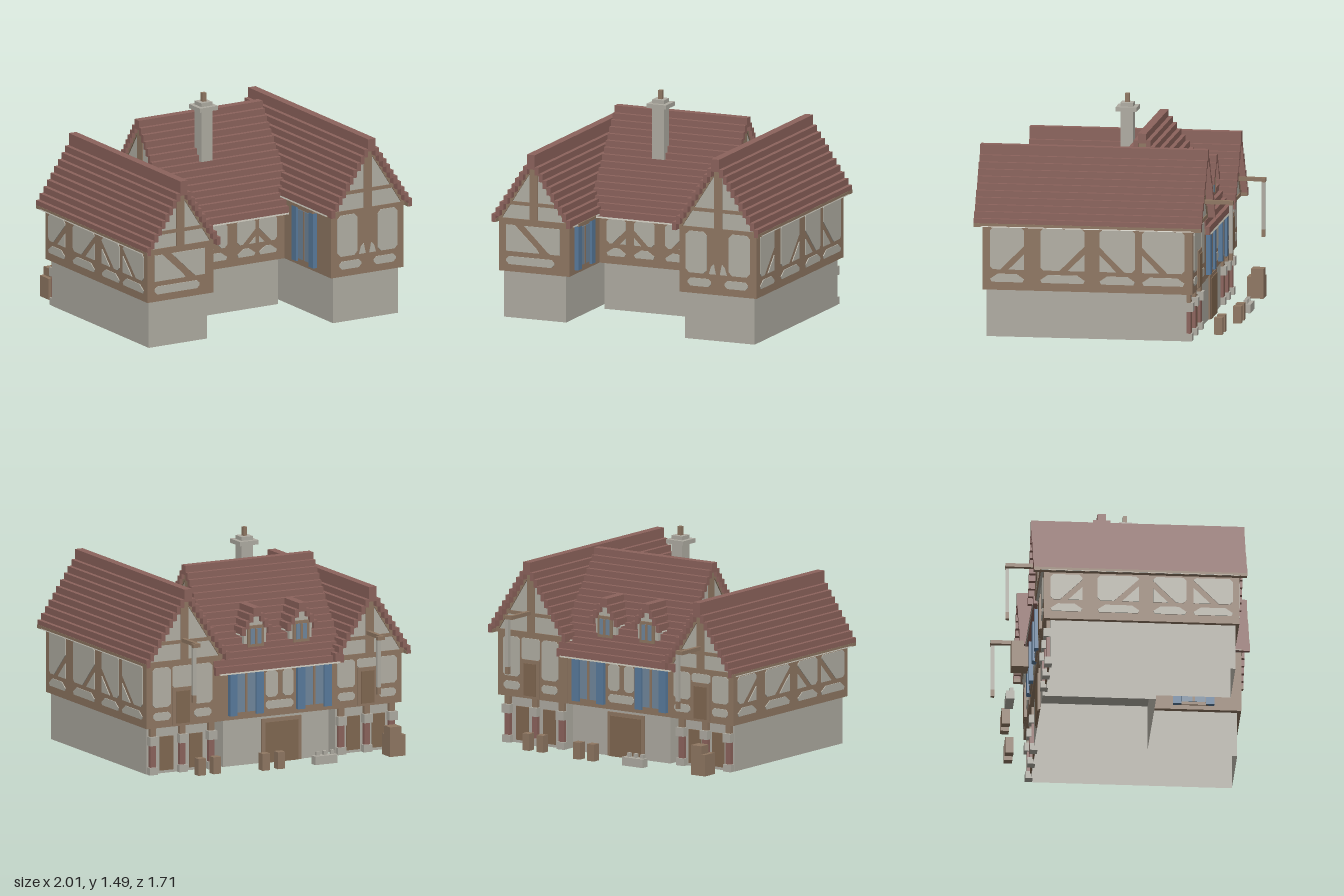
import * as THREE from 'three';

const mat = (name, color, side = THREE.FrontSide) => {
  const m = new THREE.MeshStandardMaterial({ color, side });
  m.name = name;
  return m;
};

export function createModel() {
  const M = {
    roof: mat('roofTile', 0x8c635c),
    timber: mat('timber', 0x8f7762),
    door: mat('doorWood', 0x816851),
    plaster: mat('plaster', 0xb3b0a5),
    stone: mat('stone', 0xafaca2, THREE.DoubleSide),
    glass: mat('windowGlass', 0x70879c),
    shutter: mat('shutterBlue', 0x587a9c),
  };
  const model = new THREE.Group();
  model.name = 'timberFramedHouse';

  const group = (name, parent = model) => {
    const g = new THREE.Group();
    g.name = name;
    parent.add(g);
    return g;
  };
  // Box given by its limits on each axis
  const box = (p, name, m, x0, x1, y0, y1, z0, z1) => {
    const b = new THREE.Mesh(new THREE.BoxGeometry(x1 - x0, y1 - y0, z1 - z0), m);
    b.position.set((x0 + x1) / 2, (y0 + y1) / 2, (z0 + z1) / 2);
    b.name = name;
    p.add(b);
    return b;
  };
  const extrude = (p, name, m, pts, z0, z1) => {
    const shape = new THREE.Shape(pts.map(([x, y]) => new THREE.Vector2(x, y)));
    const e = new THREE.Mesh(new THREE.ExtrudeGeometry(shape, { depth: z1 - z0, bevelEnabled: false }), m);
    e.position.z = z0;
    e.name = name;
    p.add(e);
  };
  // A wall face: local x runs to the right as seen from outside, local z points outwards
  const face = (name, x, z, turn) => {
    const g = group(name);
    g.position.set(x, 0, z);
    g.rotation.y = turn;
    return g;
  };
  const plate = (f, pts) => extrude(f, 'plasterPanel', M.plaster, pts, 0, 0.006);
  const panel = (f, a, b, y0, y1, c = 0.018) => plate(f, [[a + c, y0], [b - c, y0], [b, y0 + c],
    [b, y1 - c], [b - c, y1], [a + c, y1], [a, y1 - c], [a, y0 + c]]);

  // One framed bay: tall panel, optional diagonal brace, low panel under the rail
  const bay = (f, a, b, top, dir) => {
    const yb = 0.46, k = Math.min(0.17, 0.7 * (b - a));
    const flip = (pts) => pts.map(([x, y]) => [dir < 0 ? a + b - x : x, y]);
    if (dir === 0) panel(f, a, b, yb, top);
    else {
      plate(f, flip([[a, yb + 0.02], [a + 0.02, yb], [b - k, yb], [b, yb + k], [b, top - 0.02],
        [b - 0.02, top], [a + 0.02, top], [a, top - 0.02]]));
      plate(f, flip([[b - k + 0.055, yb], [b, yb], [b, yb + k - 0.055]]));
    }
    plate(f, [[a + 0.01, 0.375], [b - 0.01, 0.375], [b, 0.395], [b - 0.05, 0.43], [a + 0.05, 0.43], [a, 0.395]]);
  };

  // Window with frame, bar and a pair of shutters
  const windowAt = (f, h, y0, y1, w, shutters) => {
    const g = group('window', f);
    g.position.x = h;
    box(g, 'windowFrame', M.timber, -w / 2 - 0.02, w / 2 + 0.02, y0 - 0.02, y1 + 0.02, 0, 0.012);
    box(g, 'glass', M.glass, -w / 2, w / 2, y0, y1, 0.01, 0.016);
    box(g, 'bar', M.timber, -0.008, 0.008, y0, y1, 0.014, 0.021);
    if (!shutters) return;
    for (const s of [-1, 1]) {
      const c = s * (w / 2 + 0.03);
      box(g, 'shutter', M.shutter, c - 0.028, c + 0.028, y0 - 0.02, y1 + 0.02, 0, 0.03);
    }
    box(g, 'lintel', M.timber, -w / 2 - 0.06, w / 2 + 0.06, y1 + 0.02, y1 + 0.04, 0, 0.035);
  };

  // Stepped roof along local z, with plastered gables and their timbers
  const U = 0.0286;
  const steppedRoof = (name, n, eave, step, cap, length, inset, p = model) => {
    const g = group(name, p), hw = (n + 1) * U, L = length / 2, G = L - inset;
    for (let i = 0; i < n; i++) {
      for (const s of [-1, 1]) {
        const o = s * (hw - i * U), q = s * (hw - (i + 1) * U), y = eave + i * step;
        box(g, 'tileCourse', M.roof, Math.min(o, q), Math.max(o, q), y, y + 0.055, -L, L);
      }
    }
    const top = eave + n * step;
    box(g, 'ridge', M.roof, -U, U, top - 0.005, top + cap, -L, L);
    const edge = (y) => hw - (0.5 + (y - eave - 0.03) / step) * U;
    extrude(g, 'gableWall', M.plaster, [[-edge(eave), eave], [edge(eave), eave],
      [U * 0.5, top + 0.02], [-U * 0.5, top + 0.02]], -G, G);
    if (n < 5) return g;
    const mid = eave + (top - eave) * 0.34;
    for (const s of [-1, 1]) {
      const [z0, z1] = s > 0 ? [G, G + 0.007] : [-G - 0.007, -G];
      box(g, 'kingPost', M.timber, -0.03, 0.03, eave, top, z0, z1);
      box(g, 'tieBeam', M.timber, -edge(eave) + 0.03, edge(eave) - 0.03, eave, eave + 0.025, z0, z1);
      box(g, 'collarBeam', M.timber, -edge(mid), edge(mid), mid - 0.012, mid + 0.012, z0, z1);
      for (const t of [-1, 1]) {
        extrude(g, 'rafter', M.timber, [[t * edge(eave), eave], [t * U, top],
          [t * (U - 0.03), top], [t * (edge(eave) - 0.045), eave]], z0, z1);
      }
    }
    return g;
  };

  // Stone base, open underneath
  const base = (name, x0, x1, z0, z1) => {
    const b = box(model, name, M.stone, x0, x1, 0, 0.318, z0, z1);
    const idx = Array.from(b.geometry.index.array);
    idx.splice(18, 6);
    b.geometry.setIndex(idx);
    b.geometry.clearGroups();
  };
  base('leftBase', -0.945, -0.49, -0.575, 0.665);
  base('middleBase', -0.43, 0.37, -0.59, 0.17);
  base('rightBase', 0.43, 0.94, -0.575, 0.775);

  // Jettied upper storeys
  box(model, 'leftStorey', M.timber, -0.97, -0.455, 0.32, 0.685, -0.62, 0.69);
  box(model, 'middleStorey', M.timber, -0.46, 0.405, 0.32, 0.67, -0.615, 0.2);
  box(model, 'rightStorey', M.timber, 0.4, 0.965, 0.32, 0.775, -0.62, 0.8);

  // Roofs
  steppedRoof('leftRoof', 9, 0.66, 0.043, 0.095, 1.43, 0.05).position.set(-0.715, 0, 0.025);
  steppedRoof('rightRoof', 10, 0.75, 0.043, 0.08, 1.54, 0.055).position.set(0.685, 0, 0.085);
  const mainRoof = steppedRoof('middleRoof', 15, 0.64, 0.041, 0.06, 0.97, 0.03);
  mainRoof.position.set(-0.027, 0, -0.2);
  mainRoof.rotation.y = Math.PI / 2;
  box(model, 'eaveBoard', M.timber, 0.97, 1.0015, 0.749, 0.774, -0.684, 0.854);
  box(model, 'eaveBoard', M.timber, -1.0025, -0.97, 0.659, 0.682, -0.689, 0.739);

  // Long outer walls
  const bays = [[-0.657, -0.428, 1], [-0.317, -0.018, 1], [0.083, 0.322, -1], [0.372, 0.657, -1]];
  const rightSide = face('rightOuterWall', 0.965, 0.09, Math.PI / 2);
  const leftSide = face('leftOuterWall', -0.97, 0.035, -Math.PI / 2);
  for (const [a, b, d] of bays) {
    bay(rightSide, a, b, 0.745, d);
    bay(leftSide, a * 0.93, b * 0.93, 0.645, d);
  }

  // Front of the right wing
  const rf = face('rightFront', 0.683, 0.8, 0);
  for (const s of [-1, 1]) {
    const [a, b] = s < 0 ? [-0.235, -0.08] : [0.08, 0.235];
    panel(rf, a, b, 0.46, 0.745, 0.025);
    panel(rf, s < 0 ? -0.22 : 0.05, s < 0 ? -0.05 : 0.22, 0.37, 0.425, 0.02);
    plate(rf, [[s * 0.015, 0.46], [s * 0.065, 0.46], [s * 0.05, 0.51], [s * 0.03, 0.53]]);
  }
  // Front of the left wing with its long brace
  const lf = face('leftFront', -0.715, 0.69, 0);
  plate(lf, [[-0.2, 0.46], [0.04, 0.46], [0.02, 0.49], [-0.14, 0.64], [-0.2, 0.64]]);
  plate(lf, [[-0.07, 0.64], [0.19, 0.64], [0.19, 0.46], [0.12, 0.46], [0.09, 0.485]]);
  panel(lf, -0.2, 0.15, 0.37, 0.425, 0.02);
  // Front of the middle
  const mf = face('middleFront', -0.03, 0.2, 0);
  [[-0.37, -0.23, 1], [-0.17, -0.02, -1], [0.06, 0.2, 1], [0.23, 0.37, -1]]
    .forEach(([a, b, d]) => bay(mf, a, b, 0.63, d));

  // Courtyard windows
  windowAt(face('leftInnerWall', -0.455, 0.47, Math.PI / 2), 0, 0.37, 0.63, 0.16, true);
  windowAt(face('rightInnerWall', 0.4, 0.48, -Math.PI / 2), 0, 0.37, 0.71, 0.16, true);

  // Back of the middle: shuttered windows, panels and a wide door
  const mb = face('middleBack', -0.03, -0.615, Math.PI);
  windowAt(mb, -0.245, 0.37, 0.65, 0.14, true);
  windowAt(mb, 0.27, 0.37, 0.65, 0.14, true);
  panel(mb, -0.09, 0.0, 0.45, 0.63);
  panel(mb, 0.04, 0.12, 0.45, 0.63);
  panel(mb, -0.09, 0.12, 0.37, 0.425);
  const db = face('backDoor', -0.07, -0.59, Math.PI);
  box(db, 'doorFrame', M.timber, -0.15, 0.15, 0, 0.3, 0, 0.012);
  box(db, 'doorLeaf', M.door, -0.125, 0.125, 0, 0.275, 0.01, 0.018);

  // Backs of the wings: loading door, hoist and pillared ground floor
  const wingBack = (name, x, top, beamY, hookEnd, pillars) => {
    const f = face(name, x, -0.62, Math.PI);
    panel(f, -0.225, -0.09, 0.46, top);
    panel(f, 0.09, 0.225, 0.46, top);
    panel(f, -0.075, 0.075, 0.585, top, 0.012);
    panel(f, -0.22, -0.09, 0.37, 0.425);
    panel(f, 0.09, 0.22, 0.37, 0.425);
    box(f, 'loadingDoorFrame', M.timber, -0.075, 0.075, 0.33, 0.585, 0, 0.012);
    box(f, 'loadingDoor', M.door, -0.05, 0.05, 0.34, 0.56, 0.01, 0.018);
    const h = group('hoist', f);
    box(h, 'hoistBeam', M.timber, -0.015, 0.012, beamY, beamY + 0.026, -0.02, 0.238);
    box(h, 'hoistArm', M.timber, -0.044, -0.015, beamY, beamY + 0.026, 0.212, 0.238);
    box(h, 'rope', M.stone, -0.044, -0.018, hookEnd + 0.05, beamY, 0.212, 0.236);
    box(h, 'hook', M.timber, -0.044, -0.018, hookEnd, hookEnd + 0.05, 0.212, 0.236);
    for (const px of pillars) {
      const p = group('pillar');
      p.position.set(px, 0, -0.583);
      box(p, 'pillarFoot', M.stone, -0.032, 0.032, 0, 0.05, -0.03, 0.02);
      box(p, 'pillarShaft', M.roof, -0.022, 0.022, 0.05, 0.2, -0.018, 0.018);
      box(p, 'pillarCap', M.stone, -0.032, 0.032, 0.2, 0.26, -0.037, 0.02);
      box(p, 'bracket', M.timber, -0.022, 0.022, 0.26, 0.32, -0.018, 0.018);
    }
    for (let i = 0; i < 2; i++) {
      const c = (pillars[i] + pillars[i + 1]) / 2;
      box(model, 'groundDoor', M.door, c - 0.05, c + 0.05, 0.02, 0.25, -0.584, -0.574);
    }
  };
  wingBack('leftBack', -0.705, 0.645, 0.81, 0.44, [-0.91, -0.72, -0.525]);
  wingBack('rightBack', 0.695, 0.73, 0.894, 0.52, [0.46, 0.68, 0.905]);

  // Dormers
  for (const x of [-0.23, 0.115]) {
    const d = group('dormer');
    d.position.set(x, 0, -0.465);
    steppedRoof('dormerRoof', 3, 0.88, 0.043, 0.055, 0.27, 0.03, d);
    box(d, 'dormerWall', M.plaster, -0.083, 0.083, 0.74, 0.915, -0.105, 0.07);
    const f = face('dormerFront', 0, -0.105, Math.PI);
    d.add(f);
    windowAt(f, 0, 0.815, 0.92, 0.08, false);
  }

  // Chimney
  const ch = group('chimney');
  ch.position.set(-0.102, 0, -0.015);
  box(ch, 'stack', M.stone, -0.043, 0.043, 1.0, 1.43, -0.043, 0.043);
  box(ch, 'chimneyCap', M.stone, -0.071, 0.071, 1.375, 1.404, -0.071, 0.071);
  box(ch, 'chimneyPot', M.timber, -0.014, 0.014, 1.43, 1.49, -0.014, 0.014);

  // Yard: crates, stools and a trough
  box(model, 'crate', M.timber, -0.885, -0.77, 0, 0.145, -0.83, -0.717);
  box(model, 'smallCrate', M.timber, -0.855, -0.77, 0.145, 0.202, -0.83, -0.745);
  for (const [x, z] of [[0.055, -0.803], [0.17, -0.803], [0.512, -0.747], [0.627, -0.747]])
    box(model, 'stool', M.timber, x - 0.028, x + 0.028, 0, 0.115, z - 0.028, z + 0.028);
  box(model, 'trough', M.stone, -0.372, -0.202, 0, 0.058, -0.83, -0.774);
  for (const x of [-0.36, -0.305, -0.25])
    box(model, 'troughStone', M.stone, x, x + 0.025, 0.058, 0.085, -0.805, -0.78);

  return model;
}
